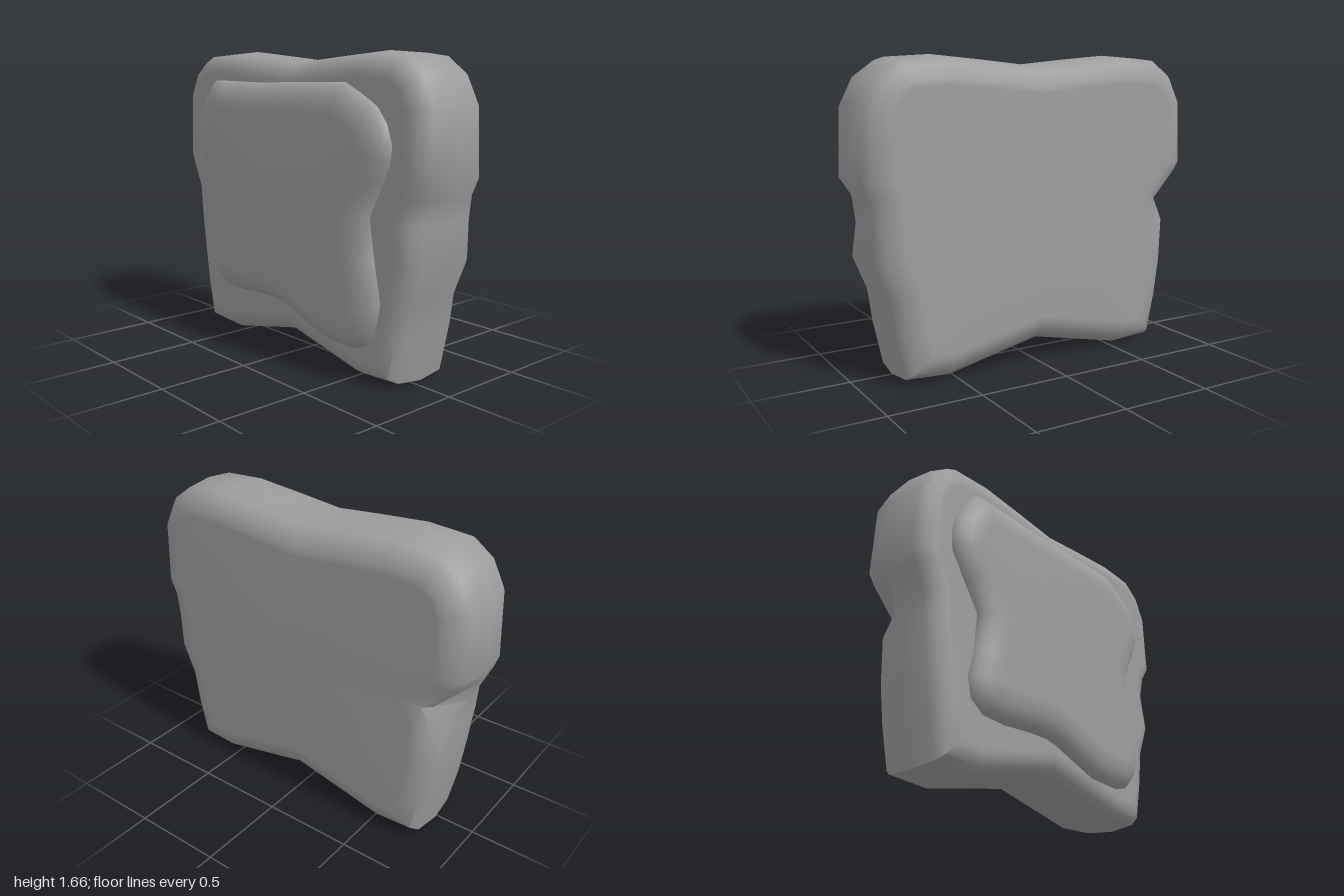
import * as THREE from 'three';
import { toCreasedNormals } from 'three/addons/utils/BufferGeometryUtils.js';

// Outlines run clockwise seen from the front, as [x, y].
// A third and fourth number pinch the point inward at the front and back rim.
const BREAD = [
  [-0.785, 1.65], [-0.54, 1.665], [-0.25, 1.64], [0, 1.615], [0.25, 1.64], [0.54, 1.665], [0.785, 1.65],
  [0.91, 1.56], [0.985, 1.41], [1, 1.05], [0.97, 0.96, 0.03, 0.01], [0.955, 0.84, 0.05, 0.01],
  [0.94, 0.63], [0.865, 0.45], [0.84, 0.27],
  [0.785, 0.02], [0.53, 0.005], [0, 0.12], [-0.53, 0.005], [-0.785, 0.02],
  [-0.84, 0.27], [-0.87, 0.48], [-0.9, 0.72, 0, 0.02], [-0.91, 0.84, 0, 0.09], [-0.975, 0.98, 0, 0.02],
  [-1, 1.05], [-0.985, 1.41], [-0.91, 1.56],
];
const SPREAD = [
  [-0.64, 1.5], [-0.53, 1.5], [-0.2, 1.495], [0.1, 1.505], [0.46, 1.51], [0.57, 1.46], [0.68, 1.4],
  [0.745, 1.32], [0.78, 1.22], [0.77, 1.14], [0.72, 1.03], [0.635, 0.86], [0.67, 0.66], [0.715, 0.44],
  [0.68, 0.27], [0.61, 0.2], [0.52, 0.173], [0.3, 0.185], [0.14, 0.24], [0, 0.29], [-0.08, 0.305],
  [-0.2, 0.305], [-0.4, 0.29], [-0.55, 0.3], [-0.63, 0.36], [-0.655, 0.46], [-0.62, 0.62],
  [-0.605, 0.82], [-0.7, 0.96], [-0.79, 1.1], [-0.8, 1.2], [-0.78, 1.3], [-0.72, 1.41],
];

// Move every outline point inward along its mitred normal
function inset(points, distance) {
  const n = points.length;
  return points.map(([x, y], i) => {
    const [px, py] = points[(i + n - 1) % n];
    const [qx, qy] = points[(i + 1) % n];
    const a = new THREE.Vector2(y - py, px - x).normalize();
    const b = new THREE.Vector2(qy - y, x - qx).normalize();
    const k = distance / (1 + a.dot(b));
    return [x + (a.x + b.x) * k, y + (a.y + b.y) * k];
  });
}

// Loft inset copies of an outline from front to back; layers are [z, inset]
function loft(outline, layers, center) {
  const n = outline.length;
  const pos = [];
  const index = [];
  layers.forEach(([z, d]) => {
    inset(outline, d).forEach(([x, y], i) => {
      const [, , frontPinch = 0, backPinch = 0] = outline[i];
      const pinch = z > 0.1 ? frontPinch : z < -0.15 ? backPinch : 0;
      pos.push(x - Math.sign(x) * pinch, y, z);
    });
  });
  for (let l = 0; l < layers.length - 1; l++) {
    for (let i = 0; i < n; i++) {
      const j = (i + 1) % n;
      const a = l * n + i, b = l * n + j, c = a + n, d = b + n;
      index.push(a, b, c, b, d, c);
    }
  }
  // Close both ends with a fan
  const last = (layers.length - 1) * n;
  const front = pos.length / 3;
  pos.push(...center, layers[0][0], ...center, layers[layers.length - 1][0]);
  for (let i = 0; i < n; i++) {
    const j = (i + 1) % n;
    index.push(front, j, i, front + 1, last + i, last + j);
  }
  const geometry = new THREE.BufferGeometry();
  geometry.setAttribute('position', new THREE.Float32BufferAttribute(pos, 3));
  geometry.setIndex(index);
  return toCreasedNormals(geometry, 0.9);
}

export function createModel() {
  const group = new THREE.Group();
  group.name = 'toast';
  const material = new THREE.MeshStandardMaterial({ color: 0x9d9d9d });

  // Thick slice with a rounded crust
  const bread = new THREE.Mesh(loft(BREAD, [
    [0.195, 0.13], [0.194, 0.1], [0.172, 0.045], [0.12, 0.015], [-0.03, 0],
    [-0.19, 0.015], [-0.24, 0.05], [-0.274, 0.12], [-0.275, 0.15],
  ], [0, 0.85]), material);
  bread.name = 'breadSlice';

  // Soft layer spread on the front face
  const spread = new THREE.Mesh(loft(SPREAD, [
    [0.274, 0.16], [0.273, 0.13], [0.258, 0.07], [0.232, 0.025], [0.198, 0], [0.185, 0],
  ], [0.02, 0.85]), material);
  spread.name = 'spread';

  group.add(bread, spread);
  return group;
}
